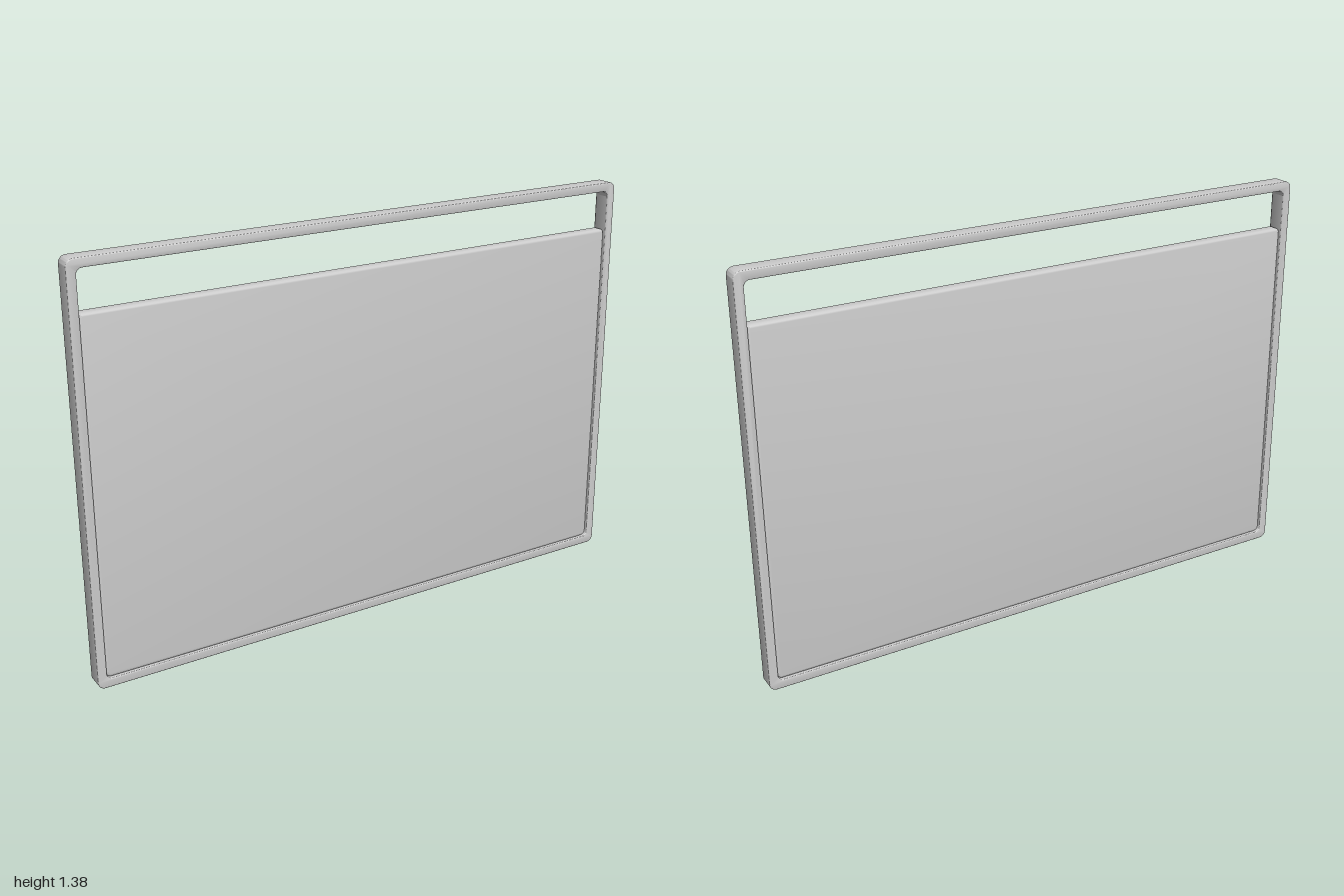
import * as THREE from 'three';
import { toCreasedNormals } from 'three/addons/utils/BufferGeometryUtils.js';

const material = new THREE.MeshStandardMaterial({ color: 0xcccccc });

// Traces a rectangle with separate bottom and top corner radii.
function roundedRect(path, x0, y0, x1, y1, rBottom, rTop = rBottom) {
  path.moveTo(x0 + rBottom, y0);
  path.lineTo(x1 - rBottom, y0);
  path.absarc(x1 - rBottom, y0 + rBottom, rBottom, -Math.PI / 2, 0);
  path.lineTo(x1, y1 - rTop);
  path.absarc(x1 - rTop, y1 - rTop, rTop, 0, Math.PI / 2);
  path.lineTo(x0 + rTop, y1);
  path.absarc(x0 + rTop, y1 - rTop, rTop, Math.PI / 2, Math.PI);
  path.lineTo(x0, y0 + rBottom);
  path.absarc(x0 + rBottom, y0 + rBottom, rBottom, Math.PI, Math.PI * 1.5);
  return path;
}

// Extrudes a shape centred on z = 0 with softened edges inside its outline.
function slab(name, shape, depth, bevel) {
  const geometry = new THREE.ExtrudeGeometry(shape, {
    depth: depth - 2 * bevel,
    bevelThickness: bevel,
    bevelSize: bevel,
    bevelOffset: -bevel,
    bevelSegments: 3,
    curveSegments: 8,
  });
  geometry.translate(0, 0, -depth / 2 + bevel);
  const mesh = new THREE.Mesh(toCreasedNormals(geometry, 0.6), material);
  mesh.name = name;
  return mesh;
}

export function createModel() {
  const group = new THREE.Group();
  group.name = 'framedPanel';

  // Outer frame with one rounded opening
  const frame = roundedRect(new THREE.Shape(), -1, 0, 1, 1.38, 0.024);
  frame.holes.push(roundedRect(new THREE.Path(), -0.97, 0.03, 0.97, 1.35, 0.02));
  group.add(slab('frame', frame, 0.06, 0.003));

  // Recessed panel that leaves a handle slot at the top
  const panel = roundedRect(new THREE.Shape(), -0.97, 0.03, 0.97, 1.215, 0.02, 0.012);
  group.add(slab('panel', panel, 0.046, 0.009));

  return group;
}
